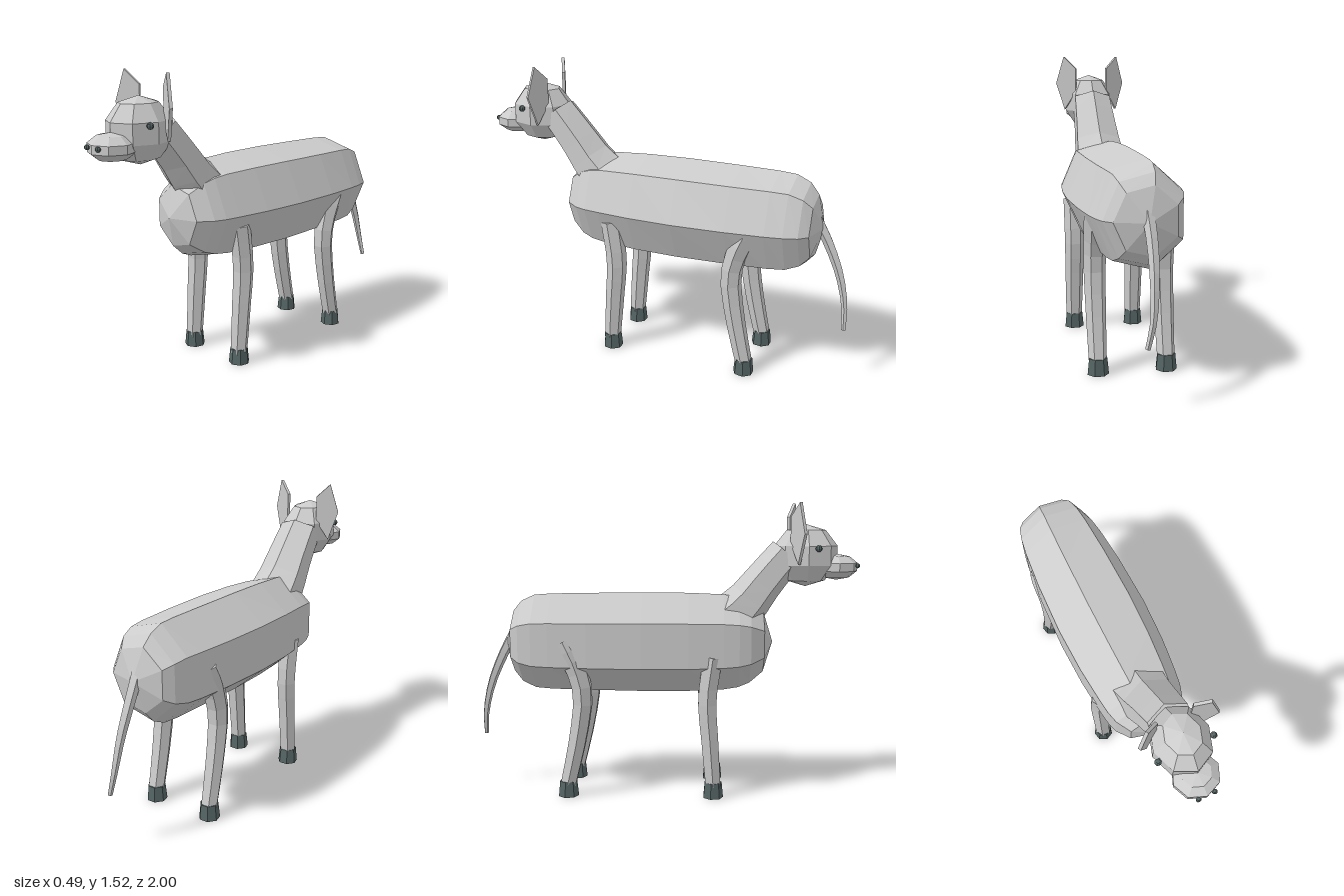
import * as THREE from 'three';

const coat = new THREE.MeshStandardMaterial({ color: 0xcccccc, flatShading: true });
const dark = new THREE.MeshStandardMaterial({ color: 0x556464, flatShading: true });

function part(name, geometry, material, x = 0, y = 0, z = 0) {
  const mesh = new THREE.Mesh(geometry, material);
  mesh.name = name;
  mesh.position.set(x, y, z);
  return mesh;
}

// Faceted tube through stations [x, y, z, radiusSide, radiusUp], closed at both ends.
function loft(stations, sides, phase = 0) {
  const centres = stations.map((s) => new THREE.Vector3(s[0], s[1], s[2]));
  const verts = [];
  const index = [];
  const last = stations.length - 1;
  stations.forEach((s, i) => {
    const t = centres[Math.min(i + 1, last)].clone().sub(centres[Math.max(i - 1, 0)]).normalize();
    const side = new THREE.Vector3(1, 0, 0).addScaledVector(t, -t.x).normalize();
    const up = t.clone().cross(side);
    for (let j = 0; j < sides; j++) {
      const a = phase + (j / sides) * Math.PI * 2;
      const p = centres[i].clone()
        .addScaledVector(side, Math.cos(a) * s[3])
        .addScaledVector(up, Math.sin(a) * s[4]);
      verts.push(p.x, p.y, p.z);
      if (i < last) {
        const k = (j + 1) % sides;
        const p0 = i * sides + j, p1 = i * sides + k;
        index.push(p0, p1, p1 + sides, p0, p1 + sides, p0 + sides);
      }
    }
  });
  for (let j = 1; j < sides - 1; j++) {
    index.push(0, j + 1, j);
    index.push(last * sides, last * sides + j, last * sides + j + 1);
  }
  const g = new THREE.BufferGeometry();
  g.setAttribute('position', new THREE.Float32BufferAttribute(verts, 3));
  g.setIndex(index);
  g.computeVertexNormals();
  return g;
}

// Resamples a few stations into a smooth run.
function smooth(stations, steps) {
  const path = new THREE.CatmullRomCurve3(stations.map((s) => new THREE.Vector3(s[0], s[1], s[2])));
  const radii = new THREE.CatmullRomCurve3(stations.map((s) => new THREE.Vector3(s[3], s[4], 0)));
  return Array.from({ length: steps + 1 }, (_, i) => {
    const p = path.getPoint(i / steps), r = radii.getPoint(i / steps);
    return [p.x, p.y, p.z, r.x, r.y];
  });
}

function ball(rx, ry, rz, w, h) {
  return new THREE.SphereGeometry(1, w, h).scale(rx, ry, rz);
}

export function createModel() {
  const model = new THREE.Group();
  model.name = 'deer';
  const body = new THREE.Group();
  body.position.x = -0.013;
  model.add(body);

  // Seven-sided torso, rounded at rump and chest: [z, half width, half height]
  const rings = [
    [-0.85, 0, 0], [-0.805, 0.155, 0.165], [-0.76, 0.195, 0.22], [-0.69, 0.217, 0.253],
    [-0.6, 0.232, 0.26], [-0.4, 0.25, 0.264], [-0.12, 0.26, 0.268], [0.12, 0.25, 0.266],
    [0.3, 0.23, 0.258], [0.38, 0.218, 0.245], [0.44, 0.198, 0.22], [0.51, 0.145, 0.16], [0.56, 0, 0],
  ];
  body.add(part('torso', loft(rings.map(([z, rx, ry]) => [0, 0.8, z, rx, ry]), 7), coat));

  // Neck with a ridge along the top and the throat
  const neck = smooth([
    [0, 0.91, 0.33, 0.155, 0.14], [0, 1.0, 0.42, 0.142, 0.118],
    [0, 1.13, 0.52, 0.128, 0.104], [0, 1.26, 0.63, 0.118, 0.098],
  ], 5);
  body.add(part('neck', loft(neck, 6, Math.PI / 6), coat));

  // Head and muzzle
  body.add(part('head', ball(0.147, 0.16, 0.172, 8, 5), coat, 0, 1.252, 0.725));
  body.add(part('muzzle', ball(0.12, 0.067, 0.115, 8, 5), coat, 0, 1.193, 0.884));

  // Leaf-shaped ear outline, measured from its middle
  const earShape = new THREE.Shape([
    [0.01, 0.155], [-0.065, 0.085], [-0.065, -0.05], [0.005, -0.155], [0.058, 0],
  ].map(([x, y]) => new THREE.Vector2(x, y)).reverse());
  const earGeo = new THREE.ExtrudeGeometry(earShape, { depth: 0.016, bevelEnabled: false });
  earGeo.translate(0, 0, -0.008);

  for (const s of [1, -1]) {
    const sideName = s > 0 ? 'left' : 'right';

    const ear = part(sideName + 'Ear', earGeo.clone(), coat, s * 0.147, 1.365, 0.673);
    if (s < 0) ear.geometry.rotateY(Math.PI);
    ear.rotation.y = -s * 0.49;
    body.add(ear);

    body.add(part(sideName + 'Eye', ball(0.017, 0.017, 0.017, 8, 6), dark, s * 0.14, 1.29, 0.773));
    body.add(part(sideName + 'Nostril', ball(0.014, 0.013, 0.012, 8, 6), dark, s * 0.041, 1.2, 0.988));

    // Legs with a slight bend, ending in hooves
    const x = s * 0.17;
    const front = smooth([
      [x, 0.05, 0.252, 0.044, 0.044], [x, 0.3, 0.233, 0.05, 0.05],
      [x, 0.52, 0.218, 0.054, 0.054], [x, 0.74, 0.245, 0.056, 0.056],
    ], 8);
    const back = smooth([
      [x, 0.05, -0.51, 0.044, 0.044], [x, 0.3, -0.455, 0.05, 0.05],
      [x, 0.54, -0.425, 0.055, 0.055], [x, 0.7, -0.465, 0.058, 0.058],
      [x, 0.82, -0.52, 0.058, 0.058],
    ], 9);
    body.add(part(sideName + 'FrontLeg', loft(front, 6), coat));
    body.add(part(sideName + 'BackLeg', loft(back, 6), coat));
    for (const [end, z] of [['Front', 0.25], ['Back', -0.507]]) {
      const hoof = new THREE.CylinderGeometry(0.046, 0.054, 0.08, 7);
      body.add(part(sideName + end + 'Hoof', hoof, dark, x, 0.04, z));
    }
  }

  // Hanging tail, curling sideways at the tip
  const tail = smooth([
    [0, 0.86, -0.8, 0.03, 0.03], [-0.005, 0.72, -0.876, 0.027, 0.027],
    [0, 0.56, -0.943, 0.022, 0.022], [0.013, 0.4, -0.98, 0.016, 0.016],
    [0.04, 0.28, -0.988, 0.012, 0.012],
  ], 9);
  body.add(part('tail', loft(tail, 5), coat));

  return model;
}
